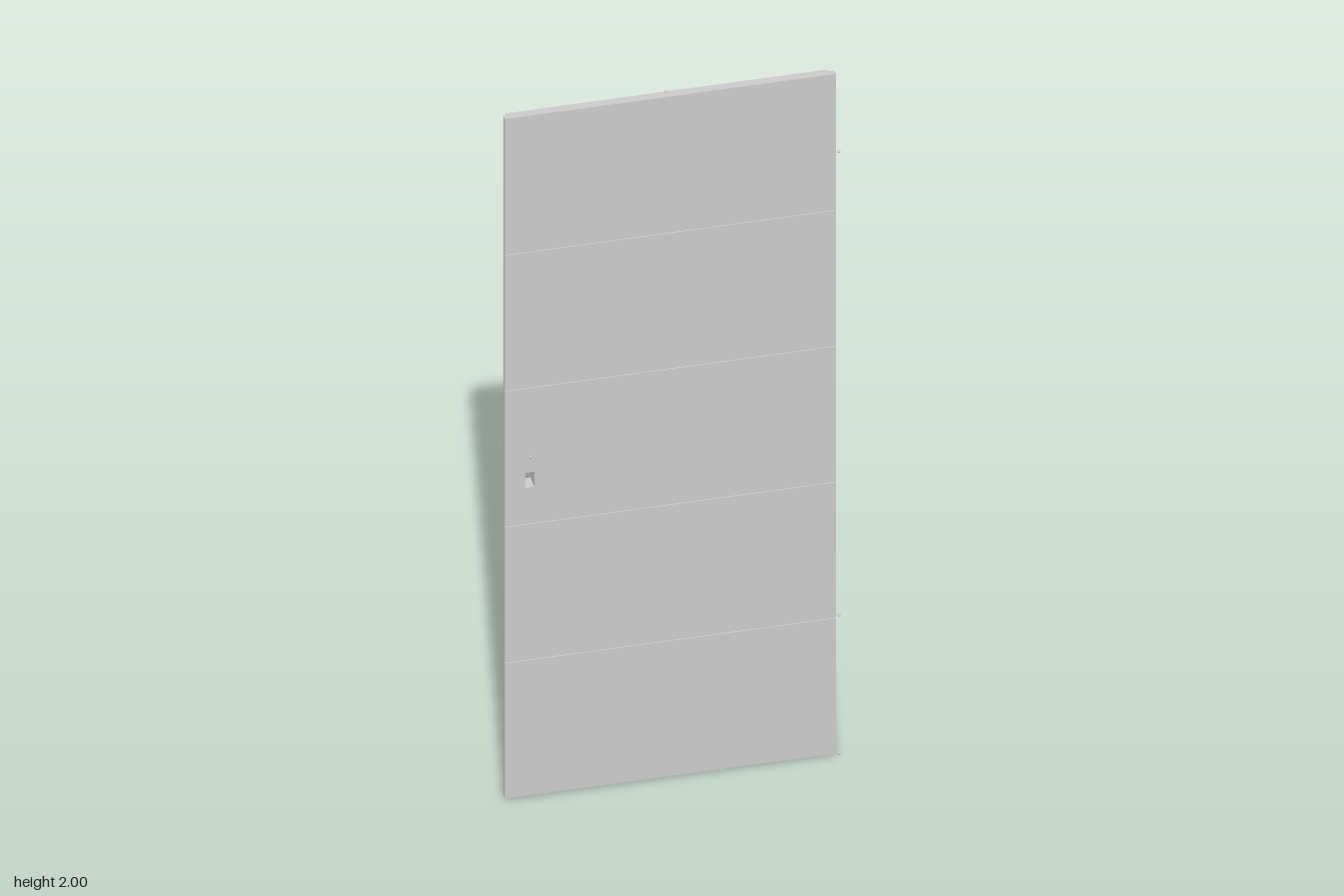
import * as THREE from 'three';

const material = new THREE.MeshStandardMaterial({ color: 0xcccccc });
const BOTTOM = 0.009, TOP = 2, GROOVE = 0.005, DEPTH = 0.003;
const PITCH = (TOP - BOTTOM) / 5;
const LOCK = { x: -0.351, y: 0.933, w: 0.021, h: 0.044 };

function rectangle(path, x0, x1, y0, y1) {
  path.moveTo(x0, y0);
  path.lineTo(x1, y0);
  path.lineTo(x1, y1);
  path.lineTo(x0, y1);
  path.closePath();
  return path;
}

// Flat board between two depths, pierced by the lock opening where it covers it
function board(name, x0, x1, y0, y1, z0, z1) {
  const shape = rectangle(new THREE.Shape(), x0, x1, y0, y1);
  if (y0 < LOCK.y && y1 > LOCK.y) {
    shape.holes.push(rectangle(new THREE.Path(),
      LOCK.x - LOCK.w / 2, LOCK.x + LOCK.w / 2, LOCK.y - LOCK.h / 2, LOCK.y + LOCK.h / 2));
  }
  const geometry = new THREE.ExtrudeGeometry(shape, { depth: z1 - z0, bevelEnabled: false });
  geometry.translate(0, 0, z0);
  const mesh = new THREE.Mesh(geometry, material);
  mesh.name = name;
  return mesh;
}

// One leaf layer: a core with five panels on its outer face, parted by grooves
function leaf(name, x0, x1, top, zCore0, zCore1, zPanel0, zPanel1) {
  const group = new THREE.Group();
  group.name = name;
  group.add(board(name + 'Core', x0, x1, BOTTOM, top, zCore0, zCore1));
  for (let i = 0; i < 5; i++) {
    const y0 = BOTTOM + i * PITCH + (i > 0 ? GROOVE / 2 : 0);
    const y1 = i < 4 ? BOTTOM + (i + 1) * PITCH - GROOVE / 2 : top;
    group.add(board(name + 'Panel', x0, x1, y0, y1, zPanel0, zPanel1));
  }
  return group;
}

export function createModel() {
  const door = new THREE.Group();
  door.name = 'door';

  // Wide front leaf overlapping the narrower back leaf
  door.add(leaf('frontLeaf', -0.413, 0.4, TOP, 0.003, 0.018 - DEPTH, 0.018 - DEPTH, 0.018));
  door.add(leaf('backLeaf', -0.401, 0.387, 1.988, -0.021 + DEPTH, 0.003, -0.021, -0.021 + DEPTH));

  // Lock plate on the closing edge
  const plate = new THREE.Mesh(new THREE.BoxGeometry(0.002, 0.16, 0.012), material);
  plate.name = 'lockPlate';
  plate.position.set(-0.401, 0.95, -0.009);
  door.add(plate);

  // Small fixing points for hinges, handles and closer
  const knob = new THREE.SphereGeometry(0.004, 10, 8);
  const points = [
    ['hingePoint', 0.409, 0.004, 0.011],
    ['hingePoint', 0.409, 0.408, 0.011],
    ['hingePoint', 0.409, 1.766, 0.011],
    ['handlePoint', -0.349, 1.0, 0.018],
    ['handlePoint', -0.349, 1.0, -0.021],
    ['closerPoint', -0.008, 1.988, -0.021],
  ];
  for (const [name, x, y, z] of points) {
    const mesh = new THREE.Mesh(knob, material);
    mesh.name = name;
    mesh.position.set(x, y, z);
    door.add(mesh);
  }
  return door;
}
